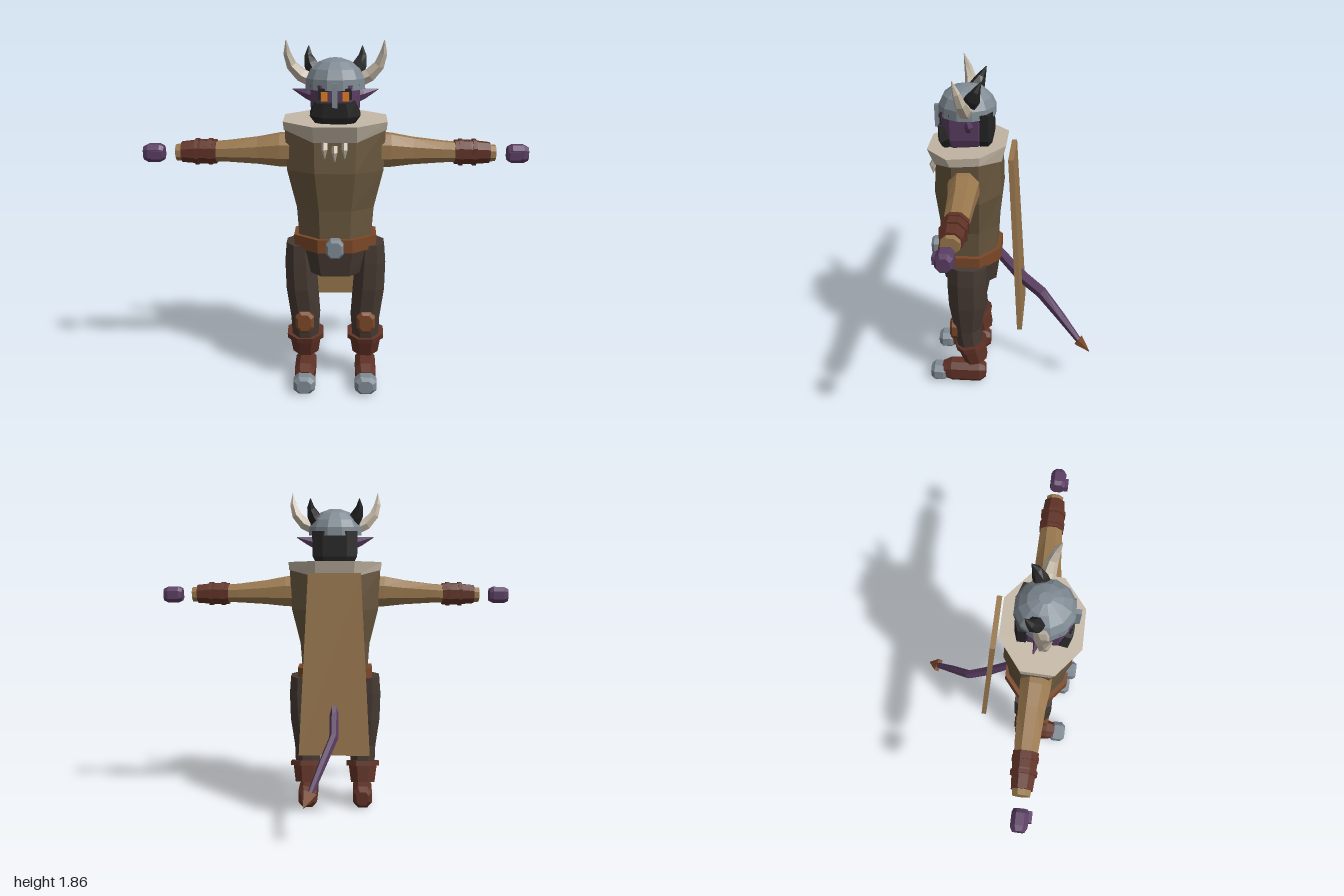
import * as THREE from 'three';

const V = (x, y, z) => new THREE.Vector3(x, y, z);
const X = V(1, 0, 0), Y = V(0, 1, 0), Z = V(0, 0, 1);

function material(name, color) {
  const m = new THREE.MeshStandardMaterial({ color });
  m.name = name;
  return m;
}

// Flat-faced solid through rows [x, y, z, halfWidth, halfDepth]; halfDepth lies along ref.
// Lower power gives a boxier section.
function sweep(rows, n = 8, ref = Z, power = 1) {
  const centres = rows.map(r => V(r[0], r[1], r[2]));
  const norm = Math.cos(Math.PI / n) ** power;
  const bend = k => Math.sign(k) * Math.abs(k) ** power / norm;
  const rings = rows.map(([, , , a, b = a], i) => {
    const t = centres[Math.min(i + 1, rows.length - 1)].clone()
      .sub(centres[Math.max(i - 1, 0)]).normalize();
    const u = ref.clone().cross(t).normalize();
    const v = t.clone().cross(u);
    return Array.from({ length: n }, (_, j) => {
      const ang = (j + 0.5) / n * Math.PI * 2;
      return centres[i].clone()
        .addScaledVector(u, a * bend(Math.cos(ang)))
        .addScaledVector(v, b * bend(Math.sin(ang)));
    });
  });
  const pts = [];
  const last = rings.length - 1;
  for (let j = 0; j < n; j++) {
    const k = (j + 1) % n;
    for (let i = 0; i < last; i++) {
      const [a, b, c, d] = [rings[i][j], rings[i][k], rings[i + 1][k], rings[i + 1][j]];
      pts.push(a, b, c, a, c, d);
    }
    pts.push(centres[0], rings[0][k], rings[0][j]);
    pts.push(centres[last], rings[last][j], rings[last][k]);
  }
  const g = new THREE.BufferGeometry().setFromPoints(pts);
  g.computeVertexNormals();
  return g;
}

function box(w, h, d, x, y, z) {
  return new THREE.BoxGeometry(w, h, d).translate(x, y, z).toNonIndexed();
}

// Mirrored copy across x = 0 with its corner order restored
function mirror(g) {
  const p = g.attributes.position, pts = [];
  for (let i = 0; i < p.count; i += 3) {
    for (const j of [i, i + 2, i + 1]) pts.push(V(-p.getX(j), p.getY(j), p.getZ(j)));
  }
  const m = new THREE.BufferGeometry().setFromPoints(pts);
  m.computeVertexNormals();
  return m;
}

export function createModel() {
  const model = new THREE.Group();
  model.name = 'hornedWarrior';
  const tunic = material('tunic brown', 0x67563d);
  const tan = material('tan cloth', 0x98774d);
  const cream = material('cream fur and horn', 0xc3b7a5);
  const maroon = material('red leather', 0x603226);
  const leather = material('orange leather', 0x7a4727);
  const trousers = material('dark trousers', 0x463a33);
  const purple = material('purple skin', 0x5a3d62);
  const steel = material('steel', 0x7f8a93);
  const black = material('black hair', 0x242424);
  const amber = material('amber eye', 0xe27c1c);

  const add = (name, g, mat) => {
    const m = new THREE.Mesh(g, mat);
    m.name = name;
    model.add(m);
  };
  const pair = (name, g, mat) => {
    add(name + 'Left', g, mat);
    add(name + 'Right', mirror(g), mat);
  };

  // Torso, belt and hips
  add('tunic', sweep([[0, 0.82, 0.235, 0.187, 0.152], [0, 1.0, 0.23, 0.2, 0.158],
    [0, 1.2, 0.228, 0.248, 0.18], [0, 1.42, 0.222, 0.258, 0.168]]), tunic);
  add('belt', sweep([[0, 0.785, 0.235, 0.216, 0.175], [0, 0.855, 0.235, 0.216, 0.175]]), leather);
  add('buckle', sweep([[0, 0.815, 0.4, 0.045, 0.05], [0, 0.815, 0.44, 0.045, 0.05],
    [0, 0.815, 0.455, 0.035, 0.04]], 8, Y, 0.8), steel);
  add('hips', sweep([[0, 0.65, 0.23, 0.14, 0.145], [0, 0.8, 0.235, 0.18, 0.165]], 8, Z, 0.75), trousers);

  // Flared fur collar, its hem lifted over the shoulders
  const collar = sweep([[0, 1.365, 0.224, 0.262, 0.178], [0, 1.46, 0.231, 0.265, 0.208]]);
  const cp = collar.attributes.position;
  for (let i = 0; i < cp.count; i++) {
    if (cp.getY(i) < 1.41) cp.setY(i, cp.getY(i) + 0.05 * (cp.getX(i) / 0.26) ** 2);
  }
  collar.computeVertexNormals();
  add('furCollar', collar, cream);
  for (const x of [-0.05, 0, 0.05]) {
    const drop = x ? 0 : 0.015;
    add('fang', sweep([[x, 1.36 - drop, 0.41, 0.013], [x, 1.33 - drop, 0.425, 0.013],
      [x, 1.285 - drop, 0.42, 0.002]], 5), cream);
  }

  // Arms, bracers and hands
  pair('sleeve', sweep([[0.18, 1.295, 0.23, 0.088, 0.08], [0.285, 1.295, 0.23, 0.085, 0.078],
    [0.4, 1.29, 0.225, 0.068, 0.068], [0.56, 1.285, 0.222, 0.053, 0.062],
    [0.83, 1.277, 0.222, 0.04, 0.044]]), tan);
  pair('bracer', sweep([[0.618, 1.282, 0.222, 0.06, 0.064], [0.7, 1.282, 0.222, 0.06, 0.06],
    [0.8, 1.28, 0.222, 0.051, 0.053]]), maroon);
  for (const x of [0.64, 0.71]) {
    pair('bracerBand', sweep([[x, 1.282, 0.222, 0.066], [x + 0.02, 1.282, 0.222, 0.066]]), maroon);
  }
  pair('hand', sweep([[0.893, 1.275, 0.228, 0.035], [0.915, 1.275, 0.228, 0.046, 0.042],
    [0.975, 1.275, 0.228, 0.046, 0.042], [1.0, 1.275, 0.228, 0.034, 0.03]], 8, Z, 0.8), purple);
  pair('thumb', box(0.055, 0.04, 0.04, 0.925, 1.27, 0.266), purple);

  // Legs and boots
  pair('leg', sweep([[0.165, 0.25, 0.23, 0.07, 0.07], [0.162, 0.38, 0.243, 0.078, 0.074],
    [0.18, 0.55, 0.238, 0.083, 0.103], [0.187, 0.7, 0.237, 0.08, 0.107],
    [0.187, 0.8, 0.235, 0.072, 0.105]]), trousers);
  pair('kneePad', sweep([[0.165, 0.365, 0.3, 0.05, 0.06], [0.165, 0.365, 0.33, 0.05, 0.06],
    [0.165, 0.365, 0.345, 0.035, 0.045]], 8, Y, 0.8), leather);
  pair('bootShaft', sweep([[0.165, 0.155, 0.2, 0.07, 0.065],
    [0.165, 0.265, 0.228, 0.085, 0.078]]), maroon);
  pair('bootRim', sweep([[0.165, 0.25, 0.223, 0.098, 0.085],
    [0.165, 0.278, 0.23, 0.098, 0.085]]), maroon);
  pair('foot', sweep([[0.165, 0.065, 0.145, 0.036, 0.04], [0.165, 0.065, 0.18, 0.056, 0.065],
    [0.165, 0.065, 0.345, 0.056, 0.065], [0.165, 0.06, 0.395, 0.045, 0.045]], 8, Y, 0.8), maroon);
  pair('toeCap', sweep([[0.165, 0.05, 0.375, 0.045, 0.038], [0.165, 0.05, 0.395, 0.058, 0.05],
    [0.165, 0.05, 0.445, 0.058, 0.05], [0.165, 0.05, 0.468, 0.038, 0.034]], 8, Y, 0.8), steel);

  // Head, hair and face
  add('head', sweep([[0, 1.44, 0.235, 0.1, 0.1], [0, 1.5, 0.24, 0.122, 0.125],
    [0, 1.64, 0.24, 0.125, 0.126]], 8, Z, 0.6), purple);
  add('hair', sweep([[0, 1.45, 0.14, 0.1, 0.035], [0, 1.5, 0.135, 0.126, 0.04],
    [0, 1.64, 0.135, 0.128, 0.04]], 8, Z, 0.7), black);
  add('beard', sweep([[0, 1.46, 0.315, 0.095, 0.055], [0, 1.5, 0.34, 0.126, 0.046],
    [0, 1.56, 0.358, 0.1, 0.028]], 8, Z, 0.7), black);
  pair('eye', box(0.034, 0.05, 0.008, 0.053, 1.588, 0.368), amber);
  pair('eyebrow', box(0.05, 0.016, 0.009, 0.055, 1.618, 0.37), black);
  pair('eyeEdge', box(0.012, 0.045, 0.008, 0.077, 1.592, 0.365), black);
  pair('ear', sweep([[0.11, 1.575, 0.215, 0.034, 0.022], [0.145, 1.583, 0.212, 0.026, 0.018],
    [0.22, 1.605, 0.2, 0.002]], 6), purple);

  // Helmet and two pairs of horns
  add('helmet', sweep([[0, 1.615, 0.232, 0.15, 0.148], [0, 1.665, 0.232, 0.147, 0.146],
    [0, 1.71, 0.23, 0.125, 0.125], [0, 1.747, 0.228, 0.082, 0.085],
    [0, 1.765, 0.228, 0.03, 0.032]], 12), steel);
  add('noseGuard', box(0.026, 0.12, 0.04, 0, 1.595, 0.386), steel);
  pair('largeHorn', sweep([[0.12, 1.655, 0.225, 0.034], [0.175, 1.68, 0.23, 0.032],
    [0.222, 1.73, 0.24, 0.026], [0.242, 1.79, 0.255, 0.018], [0.245, 1.855, 0.275, 0.002]], 6), cream);
  pair('smallHorn', sweep([[0.1, 1.69, 0.205, 0.04], [0.125, 1.73, 0.19, 0.034],
    [0.138, 1.77, 0.17, 0.02], [0.138, 1.82, 0.145, 0.002]], 6), black);

  // Stiff cape and pointed tail
  add('cape', sweep([[0, 0.39, -0.056, 0.2, 0.014], [0, 1.41, -0.003, 0.146, 0.014]], 4), tan);
  add('tail', sweep([[0, 0.79, 0.08, 0.026, 0.018], [0, 0.62, -0.06, 0.032, 0.022],
    [0, 0.52, -0.17, 0.031, 0.022], [0.06, 0.4, -0.285, 0.024, 0.02],
    [0.125, 0.26, -0.41, 0.014]], 6, X), purple);
  add('tailTip', sweep([[0.118, 0.275, -0.395, 0.018, 0.038], [0.15, 0.22, -0.46, 0.002]], 4, X), leather);

  return model;
}
